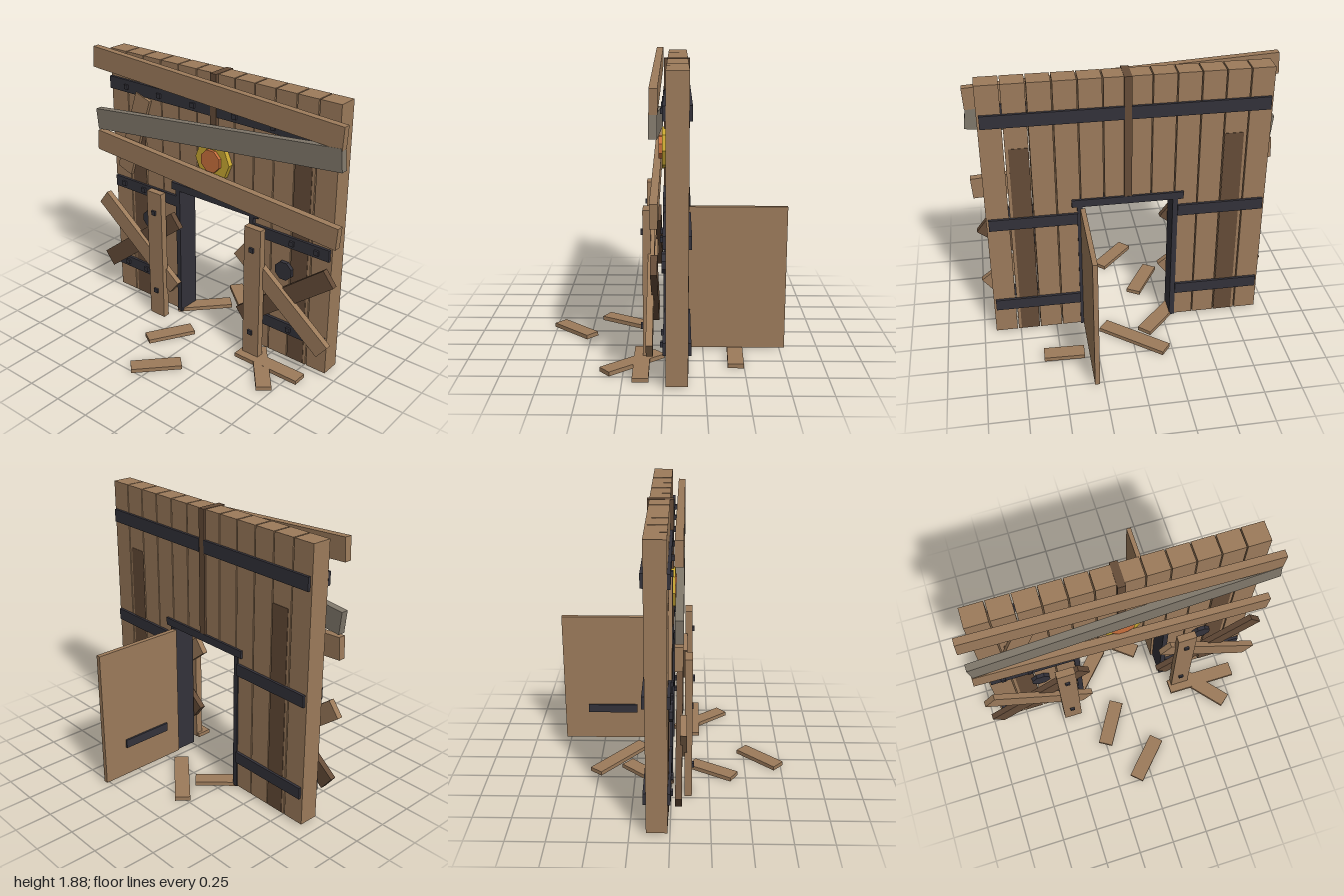
import * as THREE from 'three';

const mat = (name, color) => {
  const m = new THREE.MeshStandardMaterial({ color });
  m.name = name;
  return m;
};

export function createModel() {
  const wood = mat('wood', 0x9c7b5b);
  const darkWood = mat('dark wood', 0x654c38);
  const greyWood = mat('weathered grey wood', 0x80786b);
  const iron = mat('black iron', 0x33323a);
  const yellow = mat('yellow', 0xc9a832);
  const orange = mat('orange', 0xc9703d);

  const model = new THREE.Group();
  model.name = 'boardedGate';

  const add = (name, geometry, material) => {
    const mesh = new THREE.Mesh(geometry, material);
    mesh.name = name;
    model.add(mesh);
    return mesh;
  };
  // Box given by its limits on each axis
  const box = (name, material, [x0, x1], [y0, y1], [z0, z1]) => {
    const mesh = add(name, new THREE.BoxGeometry(x1 - x0, y1 - y0, z1 - z0), material);
    mesh.position.set((x0 + x1) / 2, (y0 + y1) / 2, (z0 + z1) / 2);
    return mesh;
  };
  // Upright board laid between two points in the xy plane
  const board = (name, material, [ax, ay], [bx, by], width, [z0, z1]) => {
    const mesh = add(name, new THREE.BoxGeometry(Math.hypot(bx - ax, by - ay), width, z1 - z0), material);
    mesh.position.set((ax + bx) / 2, (ay + by) / 2, (z0 + z1) / 2);
    mesh.rotation.z = Math.atan2(by - ay, bx - ax);
  };
  // Fallen board lying on the ground between two points in the xz plane
  const fallen = ([ax, az], [bx, bz], width = 0.1, y = 0.015) => {
    const mesh = add('fallenBoard', new THREE.BoxGeometry(Math.hypot(bx - ax, bz - az), 0.028, width), wood);
    mesh.position.set((ax + bx) / 2, y, (az + bz) / 2);
    mesh.rotation.y = -Math.atan2(bz - az, bx - ax);
  };
  // Eight-sided disc facing the front
  const disc = (name, material, x, y, radius, [z0, z1], turn = 0) => {
    const g = new THREE.CylinderGeometry(radius, radius, z1 - z0, 8).toNonIndexed();
    g.computeVertexNormals();
    g.rotateX(Math.PI / 2).rotateZ(turn);
    add(name, g, material).position.set(x, y, (z0 + z1) / 2);
  };
  const rivet = (x, y, z) =>
    box('rivet', iron, [x - 0.016, x + 0.016], [y - 0.016, y + 0.016], [z, z + 0.014]);

  // Wall planks, shortened above the doorway
  const pitch = 0.1538;
  for (let i = 0; i < 12; i++) {
    const x = (i - 5.5) * pitch;
    const overDoor = Math.abs(x) < 0.3;
    box('wallPlank', wood, [x - 0.073, x + 0.073], [overDoor ? 1.0 : 0.015, 1.865], [-0.147, -0.015]);
  }
  box('centreStrip', darkWood, [-0.025, 0.025], [1.03, 1.868], [-0.16, 0.008]);

  for (const s of [-1, 1]) {
    const span = (a, b) => (s > 0 ? [a, b] : [-b, -a]);

    // Dark repair plank, showing on both faces
    box('darkPlank', darkWood, span(0.62, 0.745), [0.02, 1.43], [-0.15, -0.012]);

    // Iron bands on the front and back
    for (const [y0, y1, inner, outer] of [[1.585, 1.672, 0.022, 0.92], [0.85, 0.93, 0.33, 0.907], [0.205, 0.285, 0.33, 0.907]]) {
      box('frontBand', iron, span(inner, outer), [y0, y1], [-0.015, 0.004]);
      box('backBand', iron, span(inner, 0.905), [y0, y1], [-0.165, -0.147]);
    }
    for (const x of [0.17, 0.465, 0.76]) rivet(s * x, 1.625, 0.004);
    for (const y of [0.89, 0.245]) for (const x of [0.635, 0.82]) rivet(s * x, y, 0.004);

    // Iron boss
    disc('boss', iron, s * 0.58, 0.675, 0.067, [-0.012, 0.014], Math.PI / 8);

    // Door frame jamb
    box('doorJamb', iron, span(0.297, 0.332), [0.012, 0.98], [-0.155, 0.008]);

    // Front post with rivets
    box('frontPost', wood, span(0.356, 0.484), [0.002, 0.977], [0.085, 0.134]);
    for (const y of [0.205, 0.825]) rivet(s * 0.42, y, 0.134);

    // Crossed boards
    const cx = s * 0.62, dx = 0.333, dy = 0.26;
    board('darkCrossBoard', darkWood, [cx - dx, 0.515 - dy], [cx + dx, 0.515 + dy], 0.124, [0.032, 0.072]);
    board('crossBoard', wood, [cx - dx, 0.515 + dy], [cx + dx, 0.515 - dy], 0.124, [0.06, 0.1]);
  }
  box('doorLintel', iron, [-0.367, 0.367], [0.978, 1.03], [-0.162, 0.01]);

  // Long boards nailed across the top
  board('topBoard', wood, [-0.995, 1.81], [0.995, 1.703], 0.145, [0.028, 0.076]);
  board('greyBoard', greyWood, [-0.99, 1.363], [0.995, 1.572], 0.146, [0.03, 0.078]);
  board('lowerBoard', wood, [-0.995, 1.205], [0.995, 1.065], 0.145, [0.028, 0.076]);
  board('looseBoard', wood, [-0.61, 1.587], [-0.81, 1.0], 0.13, [-0.012, 0.012]);

  // Octagonal emblem
  disc('emblemPlate', yellow, 0, 1.285, 0.14, [-0.015, 0.02], Math.PI / 2);
  disc('emblemCentre', orange, 0, 1.29, 0.08, [0.02, 0.042], Math.PI / 8);

  // Open door swung to the back
  box('door', wood, [0.28, 0.312], [0.015, 0.96], [-0.78, -0.15]);
  box('doorStrap', iron, [0.267, 0.28], [0.225, 0.285], [-0.61, -0.26]);

  // Fallen boards on the ground
  fallen([-0.205, -0.52], [0.182, -0.21]);
  fallen([-0.09, -0.31], [-0.36, -0.02], 0.1, 0.0145);
  fallen([0.343, -0.455], [0.613, -0.447]);
  fallen([-0.085, 0.135], [-0.255, 0.42]);
  fallen([0.118, 0.49], [-0.112, 0.733]);
  fallen([0.335, 0.14], [0.83, 0.14]);
  fallen([0.42, 0.03], [0.705, 0.365], 0.1, 0.0145);

  return model;
}
